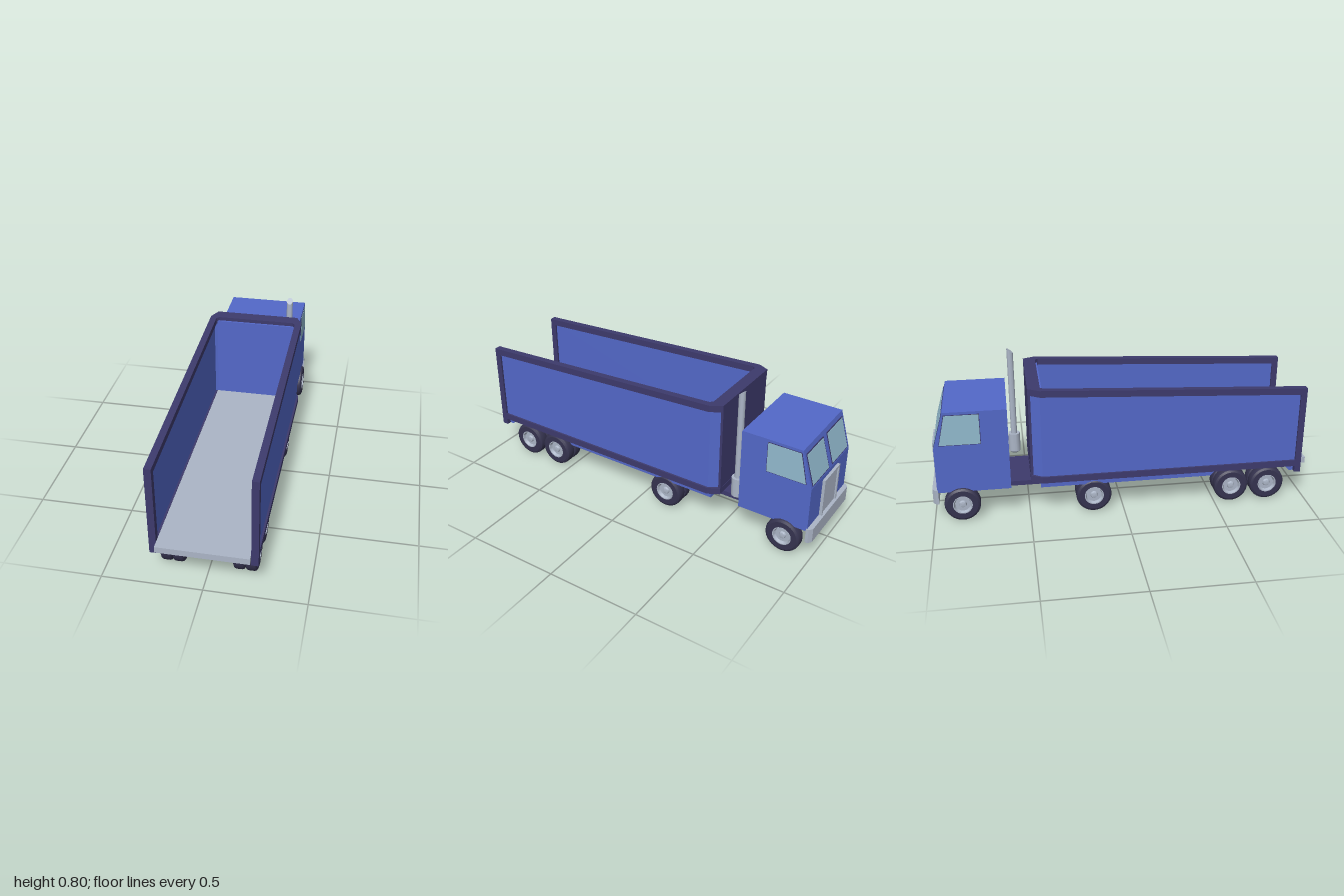
import * as THREE from 'three';
import { toCreasedNormals } from 'three/addons/utils/BufferGeometryUtils.js';

export function createModel() {
  const root = new THREE.Group();
  root.name = 'tipperTruck';
  const mat = (name, color) => Object.assign(new THREE.MeshStandardMaterial({ color }), { name });
  const blue = mat('bodyBlue', 0x5368c8);
  const dark = mat('frameIndigo', 0x3d3a6c);
  const rubber = mat('tyreRubber', 0x35334f);
  const grey = mat('metalGrey', 0xabb5c6);
  const glass = mat('windowGlass', 0x92bace);

  const add = (name, geo, material, parent = root) => {
    const m = new THREE.Mesh(geo, material);
    m.name = name;
    parent.add(m);
    return m;
  };
  // Box given by its limits on each axis
  const box = (name, x0, x1, y0, y1, z0, z1, material) => add(name,
    new THREE.BoxGeometry(x1 - x0, y1 - y0, z1 - z0)
      .translate((x0 + x1) / 2, (y0 + y1) / 2, (z0 + z1) / 2), material);
  const extrude = (pts, depth) => new THREE.ExtrudeGeometry(
    new THREE.Shape(pts.map(p => new THREE.Vector2(...p))), { depth, bevelEnabled: false });
  // Side profile of (z, y) points, extruded from x0 to x1
  const side = (pts, x0, x1) => extrude(pts.map(([z, y]) => [-z, y]), x1 - x0)
    .rotateY(Math.PI / 2).translate(x0, 0, 0);
  // Plan of (x, z) points, extruded from y0 to y1
  const plan = (pts, y0, y1) => extrude(pts.map(([x, z]) => [x, -z]), y1 - y0)
    .rotateX(-Math.PI / 2).translate(0, y0, 0);
  // Moves each vertex height by a rule of (y, z)
  const bendY = (geo, rule) => {
    const p = geo.attributes.position;
    for (let i = 0; i < p.count; i++) p.setY(i, rule(p.getY(i), p.getZ(i)));
    geo.computeVertexNormals();
    return geo;
  };

  // ---- Load body: U-shaped walls with a sloping top edge ----
  const rim = z => 0.65 + (0.965 - z) * 0.048;
  const uShape = (o, i, rear) => {
    const half = [[o, rear], [o, -0.43], [o - 0.032, -0.75 + 0.26 + (0.26 - o)]];
    const inner = [[i, rear], [i, -0.41], [i - 0.015, -0.65 + i]];
    const flip = a => a.map(([x, z]) => [-x, z]);
    return [...half, ...flip(half).reverse(), ...flip(inner), ...inner.slice().reverse()];
  };
  add('topRail', bendY(plan(uShape(0.26, 0.225, 0.965), 0, 0.035),
    (y, z) => rim(z) - 0.035 + y), dark);
  add('bottomRail', plan(uShape(0.26, 0.225, 0.965), 0.2, 0.235), dark);
  add('wallPanels', bendY(plan(uShape(0.25, 0.235, 0.95), 0.21, 0.6),
    (y, z) => (y > 0.4 ? rim(z) - 0.02 : y)), blue);
  box('frontWallPlate', -0.225, 0.225, 0.2, 0.69, -0.489, -0.476, dark);
  for (const s of [-1, 1]) {
    box('rearPost', s < 0 ? -0.26 : 0.225, s < 0 ? -0.225 : 0.26, 0.165, 0.651, 0.932, 0.965, dark);
    // Sill below the wall, notched over the rear wheels
    add('sill', side([[0.94, 0.2], [0.94, 0.165], [0.91, 0.165], [0.88, 0.198], [0.5, 0.198],
      [0.47, 0.165], [-0.44, 0.165], [-0.44, 0.2]], s < 0 ? -0.235 : 0.2, s < 0 ? -0.2 : 0.235), blue);
  }
  box('loadFloor', -0.225, 0.225, 0.2, 0.233, -0.475, 1, grey);

  // ---- Chassis ----
  box('chassis', -0.15, 0.15, 0.142, 0.168, -0.96, -0.06, dark);
  box('coupling', -0.1, 0.1, 0.165, 0.202, -0.28, -0.06, dark);
  // Tapered axle housings
  add('rearAxleHousing', side([[0.89, 0.202], [0.89, 0.145], [0.835, 0.065], [0.745, 0.065],
    [0.69, 0.145], [0.635, 0.065], [0.545, 0.065], [0.49, 0.145], [0.49, 0.202]],
    -0.113, 0.113), grey);
  for (const [z, w] of [[-0.16, 0.113], [-0.85, 0.14]]) {
    add('axleHousing', side([[z + 0.09, 0.145], [z + 0.045, 0.065], [z - 0.045, 0.065],
      [z - 0.09, 0.145]], -w, w), dark);
  }

  // ---- Wheels ----
  const lathe = pts => toCreasedNormals(new THREE.LatheGeometry(
    pts.map(p => new THREE.Vector2(...p)), 32).rotateZ(-Math.PI / 2), 0.5);
  const tyre = lathe([[0.05, 0], [0.08, 0], [0.091, 0.006], [0.094, 0.014], [0.094, 0.044],
    [0.091, 0.052], [0.08, 0.058], [0.05, 0.058]]);
  const hub = lathe([[0, 0.012], [0.051, 0.012], [0.051, 0.059], [0.046, 0.059],
    [0.04, 0.044], [0.02, 0.044], [0.016, 0.054], [0, 0.058]]);
  for (const [z, count] of [[0.79, 2], [0.59, 2], [-0.16, 2], [-0.85, 1]]) {
    const axle = add('axle', new THREE.CylinderGeometry(0.027, 0.027, 0.34, 20)
      .rotateZ(Math.PI / 2), z > 0 ? grey : dark);
    axle.position.set(0, 0.095, z);
    for (const s of [-1, 1]) {
      const wheel = new THREE.Group();
      wheel.name = 'wheel';
      wheel.position.set(s * 0.18, 0.095, z);
      if (s < 0) wheel.rotation.y = Math.PI;
      for (let i = 0; i < count; i++) {
        add('tyre', tyre, rubber, wheel).position.x = -i * 0.06;
        add('hub', hub, grey, wheel).position.x = -i * 0.06;
      }
      root.add(wheel);
    }
  }

  // ---- Cab ----
  const nose = y => -0.917 - (0.615 - y) * 0.29; // slanted windscreen plane
  add('cab', side([[-0.595, 0.168], [-0.595, 0.615], [-0.917, 0.615], [-0.975, 0.415],
    [-0.975, 0.168]], -0.225, 0.225), blue);
  for (const s of [-1, 1]) {
    const a = s < 0 ? -0.21 : 0.018, b = s < 0 ? -0.018 : 0.21;
    const strip = (y0, y1, out) => [[nose(y0) + 0.002, y0], [nose(y0) - out, y0],
      [nose(y1) - out, y1], [nose(y1) + 0.002, y1]];
    add('windscreenSeal', side(strip(0.424, 0.59, 0.002), a, b), dark);
    add('windscreen', side(strip(0.43, 0.584, 0.004), a + 0.006, b - 0.006), glass);
    // Side window with a thin seal behind it
    const pane = e => [[-0.737 + e, 0.437 - e], [-0.737 + e, 0.598 + e],
      [-0.909 - e, 0.598 + e], [-0.945 - e, 0.437 - e]];
    const face = (t) => (s < 0 ? [-0.225 - t, -0.224] : [0.224, 0.225 + t]);
    add('sideWindowSeal', side(pane(0.003), ...face(0.0015)), dark);
    add('sideWindow', side(pane(0), ...face(0.003)), glass);
  }

  // Grille plate with a raised border
  box('grille', -0.085, 0.085, 0.17, 0.39, -0.982, -0.973, grey);
  box('grilleBorder', -0.09, 0.09, 0.38, 0.393, -0.99, -0.973, grey);
  for (const x of [-0.084, 0.084]) {
    box('grilleBorder', x - 0.006, x + 0.006, 0.17, 0.38, -0.99, -0.973, grey);
  }
  add('bumper', plan([[-0.23, -0.97], [-0.23, -0.985], [-0.21, -1], [0.21, -1],
    [0.23, -0.985], [0.23, -0.97]], 0.105, 0.185), grey);

  // ---- Exhaust stack with a slanted tip ----
  const muffler = toCreasedNormals(new THREE.LatheGeometry([[0, 0.188], [0.02, 0.188],
    [0.032, 0.2], [0.032, 0.305], [0, 0.305]].map(p => new THREE.Vector2(...p)), 24), 0.5);
  add('muffler', muffler, grey).position.set(0.175, 0, -0.56);
  const pipe = new THREE.CylinderGeometry(0.017, 0.017, 0.5, 24).translate(0, 0.54, 0);
  const stack = bendY(pipe, (y, z) => (y > 0.7 ? 0.787 - z * 0.75 : y));
  add('exhaustPipe', toCreasedNormals(stack, 0.5), grey).position.set(0.175, 0, -0.56);

  return root;
}
